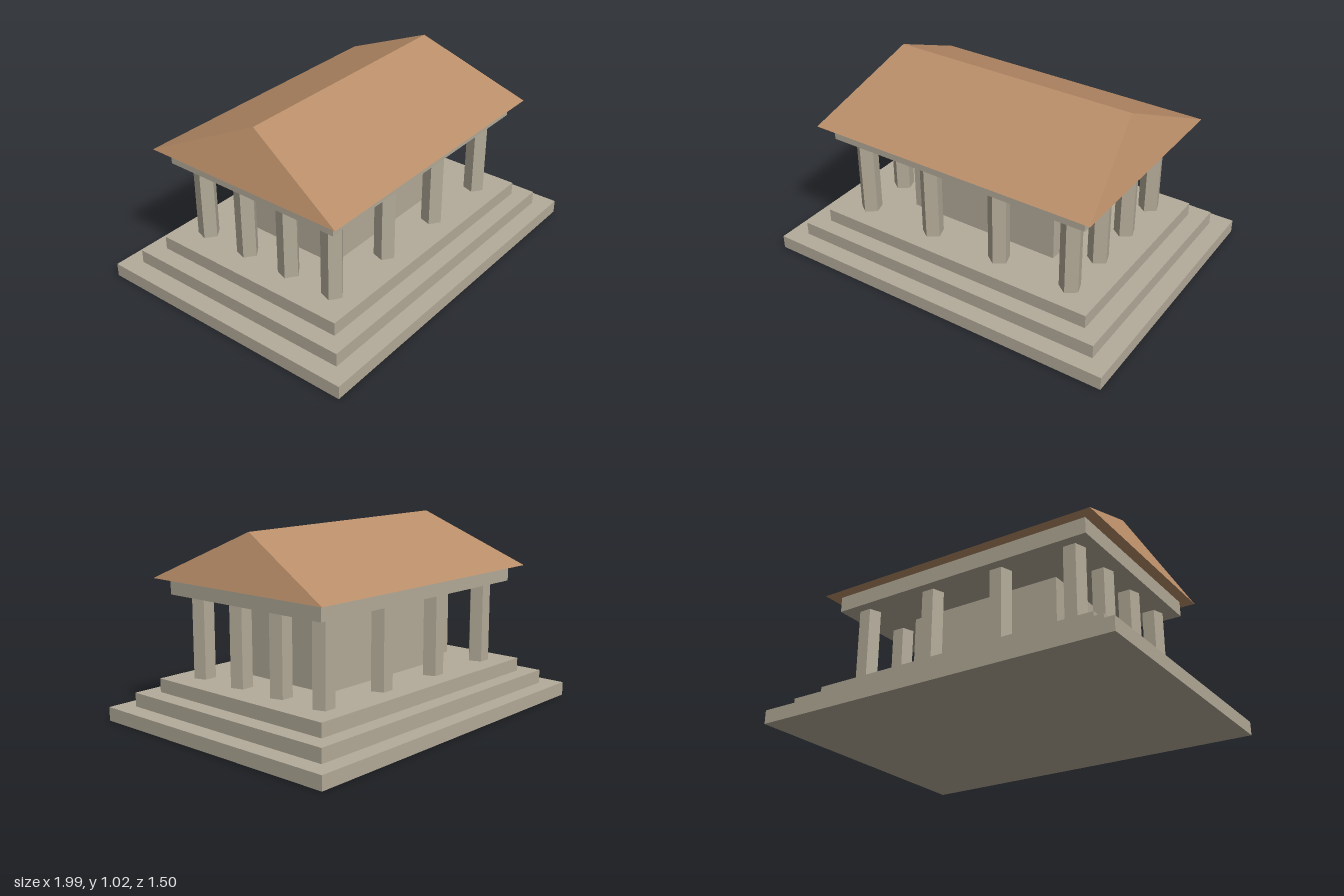
import * as THREE from 'three';
import { ConvexGeometry } from 'three/addons/geometries/ConvexGeometry.js';

const stone = new THREE.MeshStandardMaterial({ color: 0xb3ab99, flatShading: true });
const tile = new THREE.MeshStandardMaterial({ color: 0xb98d68, flatShading: true });

export function createModel() {
  const model = new THREE.Group();

  const add = (name, geometry, material, x = 0, y = 0, z = 0, parent = model) => {
    const mesh = new THREE.Mesh(geometry, material);
    mesh.name = name;
    mesh.position.set(x, y, z);
    parent.add(mesh);
    return mesh;
  };

  // Block given by half width, half depth, bottom and top
  const block = (name, hx, hz, y0, y1) =>
    add(name, new THREE.BoxGeometry(hx * 2, y1 - y0, hz * 2), stone, 0, (y0 + y1) / 2, 0);

  // Three-tier stepped base
  block('lowerStep', 0.997, 0.752, 0, 0.073);
  block('middleStep', 0.898, 0.658, 0.073, 0.147);
  block('upperStep', 0.803, 0.57, 0.147, 0.22);

  // Inner chamber, stopping just short of the ceiling
  block('innerChamber', 0.44, 0.27, 0.22, 0.635);

  // Ring of five-sided columns, four along each side
  const columns = new THREE.Group();
  columns.name = 'columns';
  model.add(columns);
  const shaft = new THREE.CylinderGeometry(0.058, 0.058, 0.44, 5);
  for (let i = 0; i < 4; i++) {
    for (let j = 0; j < 4; j++) {
      const outer = i === 0 || i === 3 || j === 0 || j === 3;
      if (outer) add('column', shaft, stone, -0.63 + i * 0.42, 0.44, -0.42 + j * 0.28, columns);
    }
  }

  // Slab carried by the columns
  block('entablature', 0.752, 0.523, 0.66, 0.745);

  // Roof with slightly inward-leaning gable ends
  const corners = [];
  for (const sx of [-1, 1]) {
    for (const sz of [-1, 1]) corners.push(new THREE.Vector3(sx * 0.812, 0.745, sz * 0.585));
    corners.push(new THREE.Vector3(sx * 0.692, 1.016, 0));
  }
  add('roof', new ConvexGeometry(corners), tile);

  return model;
}
